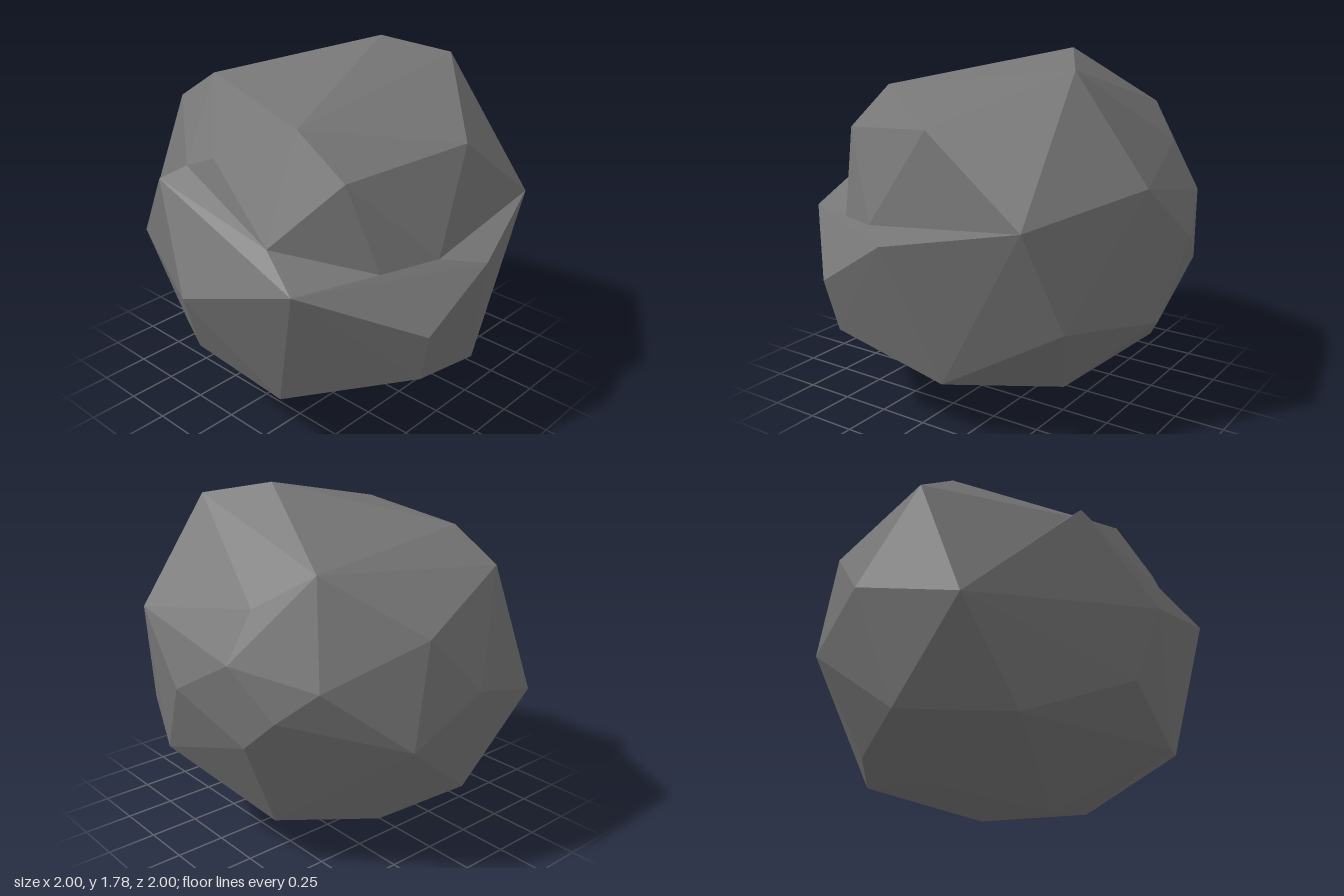
import * as THREE from 'three';
import { ConvexGeometry } from 'three/addons/geometries/ConvexGeometry.js';

// Corners of the boulder, grouped by the region they shape
const crown = [
  [0.38, 1.78, 0], [0.57, 1.71, 0.31], [0.08, 1.46, 0.78], [-0.54, 1.57, 0.3],
  [-0.54, 1.39, 0.59], [-0.69, 1.37, -0.1], [-0.24, 1.59, -0.61], [-0.28, 1.43, -0.84],
  [0.57, 1.47, -0.56],
];
const rightSide = [
  [0.94, 1.21, 0.29], [1, 0.91, -0.07], [0.94, 0.53, 0.13], [0.77, 1.31, -0.35],
  [0.91, 1.08, -0.35], [0.88, 0.7, -0.42], [0.82, 0.85, -0.57], [0.69, 1.0, -0.72],
  [0.68, 0.24, -0.37], [0.72, 0.58, 0.63],
];
const back = [
  [-0.03, 0.91, -1], [0.34, 0.7, -0.95], [0.24, 1.2, -0.93], [-0.59, 0.73, -0.84],
  [-0.13, 0.33, -0.83], [0.29, 0.24, -0.68], [-0.6, 0.27, -0.5],
];
const underside = [
  [-0.27, 0, 0.03], [-0.74, 0.27, 0.36], [0.54, 0.16, 0.31], [0.1, 0.13, -0.45],
  [-0.2, 0.06, 0.35], [0.18, 0.28, 0.82], [-0.37, 0.46, 0.91], [-0.88, 0.46, -0.05],
];
// Corners along the crease where the ledge meets the main mass
const crease = [[-0.2, 1, 0.86], [0.6, 1.07, 0.8], [-0.78, 1.08, 0.34], [-0.72, 1.3, -0.27]];
// Outer rim of the ledge that juts out on one side
const rim = [
  [-0.02, 0.96, 1], [-0.4, 0.72, 0.97], [-0.84, 0.94, 0.55], [-1, 0.79, 0], [-0.84, 1.25, -0.33],
];

export function createModel() {
  const group = new THREE.Group();
  group.name = 'boulder';
  const stone = new THREE.MeshStandardMaterial({ color: 0x757575 });
  stone.name = 'grey stone';

  const addFacetedStone = (name, ...regions) => {
    const points = regions.flat().map((p) => new THREE.Vector3(...p));
    const mesh = new THREE.Mesh(new ConvexGeometry(points), stone);
    mesh.name = name;
    group.add(mesh);
  };

  addFacetedStone('mainMass', crown, rightSide, back, underside, crease);
  // The ledge wraps the lower front and side, leaving a notch above it
  addFacetedStone('ledge', rim, crease, underside, [back[3], rightSide[9]]);
  return group;
}
